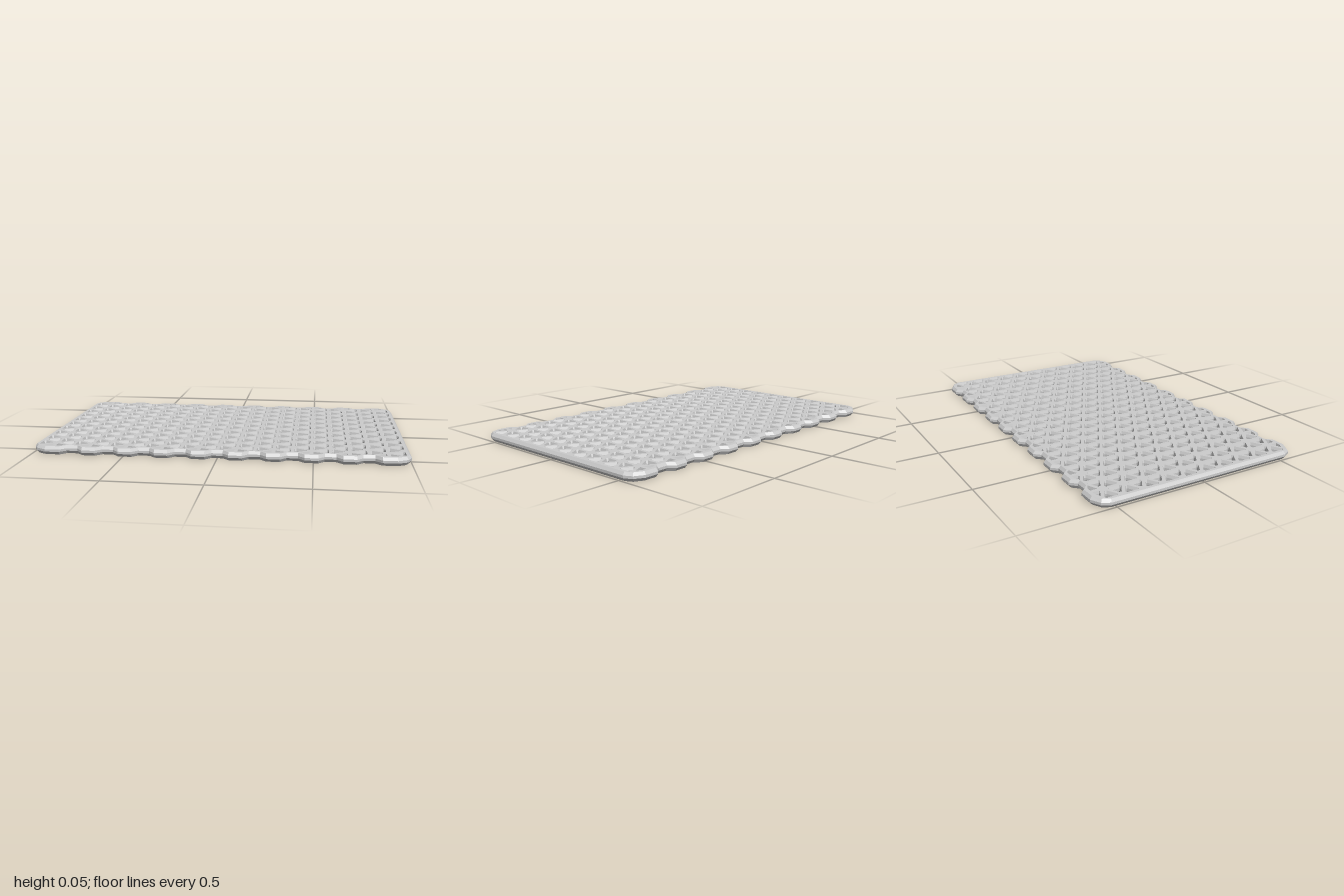
import * as THREE from 'three';

const COL = 0.098;                      // spacing of the hub columns
const PITCH = COL * 2 / Math.sqrt(3);   // spacing of hubs within a column

// Cross-section levels: height, outline inset, hole inradius, hole corner cut, edge hole scale
const LEVELS = [
  { y: 0, inset: 0.014, r: 0.025, cut: 0.041, scale: 1.25 },
  { y: 0.017, inset: 0, r: 0.019, cut: 0.033, scale: 1 },
  { y: 0.03, inset: 0, r: 0.019, cut: 0.033, scale: 1 },
  { y: 0.045, inset: 0.012, r: 0.024, cut: 0.038, scale: 1.2 },
];

// Scalloped outline, in order from +x towards +z
function outline(d) {
  const far = [[1 - d, 0.53 - 0.3 * d], [0.978 - 0.7 * d, 0.572 - 0.7 * d], [0.925 - 0.3 * d, 0.6 - d]];
  for (let k = 9; k >= -9; k--) {
    const bump = k % 2 !== 0;
    const half = bump ? 0.035 : 0.03;
    const z = (bump ? 0.6 : 0.568) - d;
    if (k !== 9) far.push([k * COL + half, z]);
    if (k !== -9) far.push([k * COL - half, z]);
  }
  far.push([-0.925 + 0.3 * d, 0.6 - d], [-0.978 + 0.7 * d, 0.572 - 0.7 * d], [-1 + d, 0.53 - 0.3 * d]);
  return far.concat(far.map(([x, z]) => [-x, -z]));
}

// Triangle with cut corners, its apex pointing towards dir * x
function triangleHole(x, z, dir, { r, cut }) {
  const w = (2 * r - cut) / Math.sqrt(3);
  const pts = [];
  for (let i = 0; i < 3; i++) {
    const a = (dir > 0 ? 0 : Math.PI) + i * Math.PI * 2 / 3;
    const c = Math.cos(a), s = Math.sin(a);
    for (const e of [-w, w]) pts.push([x + c * cut - s * e, z + s * cut + c * e]);
  }
  return pts;
}

// Small clipped hole inside a bump of the long edges
function edgeHole(x, dir, side, { scale }) {
  const quad = [[-0.016, -0.019], [0.026, 0], [0.007, 0.013], [-0.016, 0.013]];
  const pts = quad.map(([px, pz]) => [x + dir * (0.029 + px * scale), side * (0.552 + pz * scale)]);
  return dir * side > 0 ? pts : pts.reverse();
}

function holes(level) {
  const list = [];
  for (let k = -10; k <= 10; k++) {
    const odd = k % 2 !== 0;
    for (const dir of [-1, 1]) {
      if (Math.abs(k + dir) > 10) continue;
      const x = k * COL;
      for (let m = odd ? -4 : -4.5; m <= 4.5; m++) {
        list.push(triangleHole(x + dir * COL / 3, m * PITCH, dir, level));
      }
      if (odd) for (const side of [-1, 1]) list.push(edgeHole(x, dir, side, level));
    }
  }
  return list;
}

// Walls between two matching loops at different heights
function addWall(out, lo, hi, y0, y1, inward) {
  for (let i = 0; i < lo.length; i++) {
    const j = (i + 1) % lo.length;
    const a = [lo[i][0], y0, lo[i][1]], b = [hi[i][0], y1, hi[i][1]];
    const c = [hi[j][0], y1, hi[j][1]], d = [lo[j][0], y0, lo[j][1]];
    if (inward) out.push(...a, ...c, ...b, ...a, ...d, ...c);
    else out.push(...a, ...b, ...c, ...a, ...c, ...d);
  }
}

// Flat perforated face
function addCap(out, contour, cuts, y, up) {
  const v = (loop) => loop.map(([x, z]) => new THREE.Vector2(x, z));
  const all = [contour, ...cuts].flat();
  for (const [i, j, k] of THREE.ShapeUtils.triangulateShape(v(contour), cuts.map(v))) {
    const a = all[i];
    let b = all[j], c = all[k];
    const area = (b[0] - a[0]) * (c[1] - a[1]) - (b[1] - a[1]) * (c[0] - a[0]);
    if ((area < 0) !== up) [b, c] = [c, b];
    for (const p of [a, b, c]) out.push(p[0], y, p[1]);
  }
}

function mesh(name, positions, material) {
  const g = new THREE.BufferGeometry();
  g.setAttribute('position', new THREE.Float32BufferAttribute(positions, 3));
  g.computeVertexNormals();
  const m = new THREE.Mesh(g, material);
  m.name = name;
  return m;
}

export function createModel() {
  const group = new THREE.Group();
  group.name = 'latticePanel';
  const material = new THREE.MeshStandardMaterial({ color: 0xcccccc, flatShading: true });
  const outlines = LEVELS.map((l) => outline(l.inset));
  const cuts = LEVELS.map(holes);
  const top = [], bottom = [], rim = [], walls = [];

  const last = LEVELS.length - 1;
  addCap(top, outlines[last], cuts[last], LEVELS[last].y, true);
  addCap(bottom, outlines[0], cuts[0], LEVELS[0].y, false);

  // Bevelled rim and the tapered sides of every hole
  for (let i = 0; i < last; i++) {
    const y0 = LEVELS[i].y, y1 = LEVELS[i + 1].y;
    addWall(rim, outlines[i], outlines[i + 1], y0, y1, false);
    cuts[i].forEach((loop, h) => addWall(walls, loop, cuts[i + 1][h], y0, y1, true));
  }

  group.add(
    mesh('topFace', top, material),
    mesh('bottomFace', bottom, material),
    mesh('scallopedRim', rim, material),
    mesh('holeWalls', walls, material),
  );
  return group;
}
